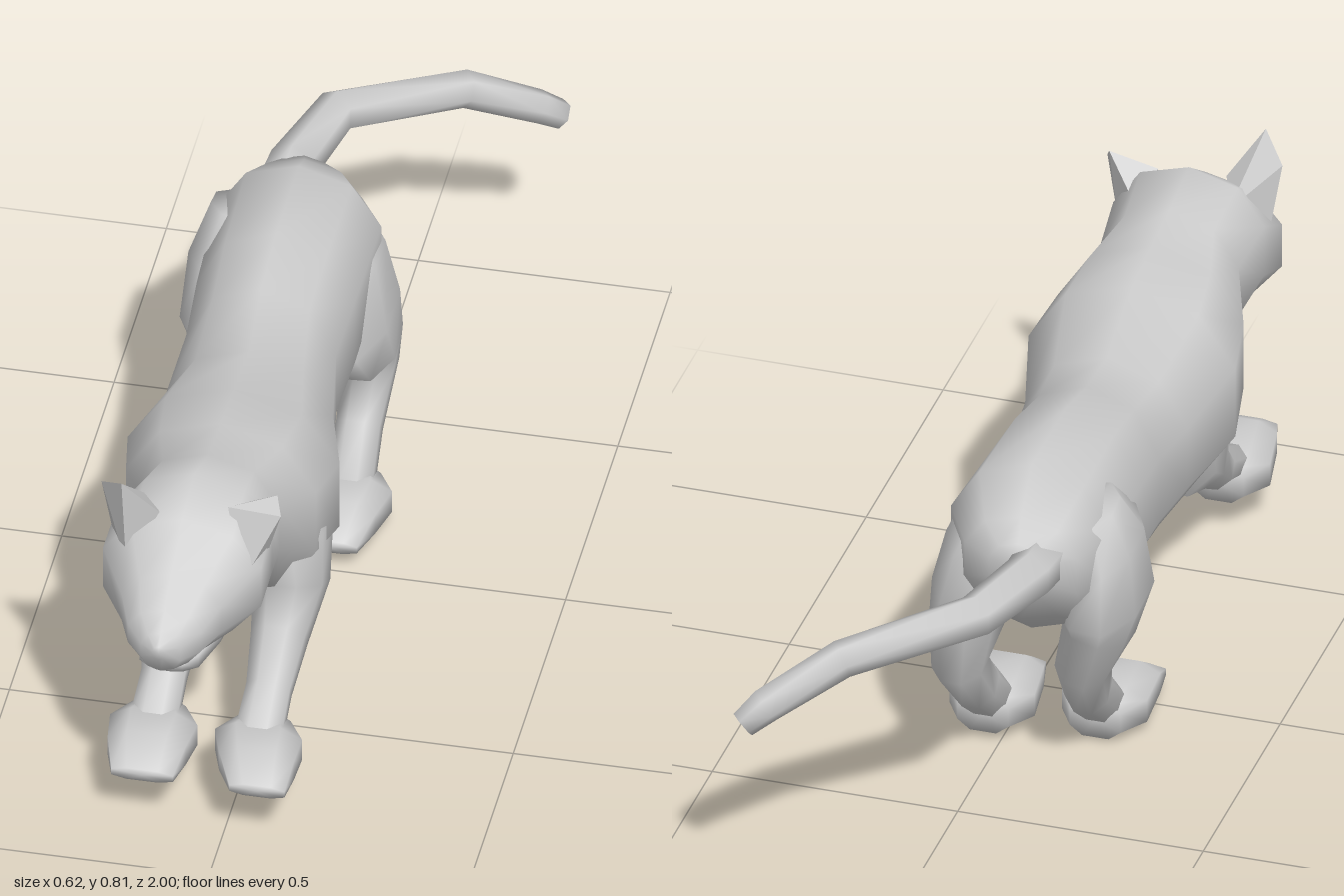
import * as THREE from 'three';
import { ConvexGeometry } from 'three/addons/geometries/ConvexGeometry.js';

const material = new THREE.MeshStandardMaterial({ color: 0xcccccc });

// Closed skin over rings [x, y, z, half width, half height].
// Rings follow the path direction, or stay in the xy plane when upright.
function loft(name, rings, sides, upright = false, power = 1) {
  const centres = rings.map(r => new THREE.Vector3(r[0], r[1], r[2]));
  const pos = [], index = [];
  const bulge = v => Math.sign(v) * Math.pow(Math.abs(v), power);
  rings.forEach(([, , , rw, rh], i) => {
    const t = new THREE.Vector3(0, 0, 1);
    if (!upright) {
      const a = centres[Math.max(i - 1, 0)], b = centres[i], c = centres[Math.min(i + 1, rings.length - 1)];
      t.subVectors(b, a).normalize().add(c.clone().sub(b).normalize()).normalize();
    }
    const u = new THREE.Vector3(1, 0, 0).addScaledVector(t, -t.x).normalize();
    const v = new THREE.Vector3().crossVectors(t, u);
    for (let j = 0; j < sides; j++) {
      const angle = (j + 0.5) / sides * Math.PI * 2;
      const p = centres[i].clone()
        .addScaledVector(u, rw * bulge(Math.cos(angle)))
        .addScaledVector(v, rh * bulge(Math.sin(angle)));
      pos.push(p.x, p.y, p.z);
    }
  });
  const last = (rings.length - 1) * sides, cap = rings.length * sides;
  for (const c of [centres[0], centres[centres.length - 1]]) pos.push(c.x, c.y, c.z);
  for (let j = 0; j < sides; j++) {
    const k = (j + 1) % sides;
    for (let i = 0; i < last; i += sides) {
      index.push(i + j, i + k, i + sides + k, i + j, i + sides + k, i + sides + j);
    }
    index.push(cap, k, j, cap + 1, last + j, last + k);
  }
  const geometry = new THREE.BufferGeometry();
  geometry.setAttribute('position', new THREE.Float32BufferAttribute(pos, 3));
  geometry.setIndex(index);
  geometry.computeVertexNormals();
  const mesh = new THREE.Mesh(geometry, material);
  mesh.name = name;
  return mesh;
}

// Upright loft from side-profile rows [z, top, bottom, half width, x]
function profile(name, rows, sides, power) {
  const rings = rows.map(([z, top, bottom, w, x]) => [x, (top + bottom) / 2, z, w * 1.04, (top - bottom) / 2]);
  return loft(name, rings, sides, true, power);
}

// Pointed ear as a small faceted hull
function ear(name, points) {
  const mesh = new THREE.Mesh(new ConvexGeometry(points.map(p => new THREE.Vector3(...p))), material);
  mesh.name = name;
  return mesh;
}

// Paw: wedge from heel to toes, the sole rising by lift, the toes offset and narrowed
function paw(name, x, y, z, lift, toeShift, toeWidth) {
  return loft(name, [
    [x, y + 0.045, z, 0.055, 0.042],
    [x, y + 0.046, z + 0.06, 0.092, 0.05],
    [x + toeShift / 2, y + 0.054 + lift / 2, z + 0.15, 0.05 + toeWidth / 2, 0.046],
    [x + toeShift, y + 0.036 + lift, z + 0.22, toeWidth, 0.014],
  ], 8, true, 0.75);
}

export function createModel() {
  const model = new THREE.Group();
  model.name = 'prowlingCat';

  // Continuous skin from rump through neck to nose
  model.add(profile('bodyAndHead', [
    [-0.49, 0.62, 0.5, 0.06, -0.12],
    [-0.44, 0.65, 0.42, 0.115, -0.11],
    [-0.34, 0.71, 0.34, 0.165, -0.1],
    [-0.12, 0.71, 0.275, 0.158, -0.1],
    [0.02, 0.68, 0.265, 0.15, -0.1],
    [0.18, 0.65, 0.255, 0.167, -0.09],
    [0.37, 0.7, 0.25, 0.212, -0.082],
    [0.5, 0.715, 0.29, 0.19, -0.08],
    [0.62, 0.73, 0.41, 0.142, -0.08],
    [0.73, 0.765, 0.44, 0.155, -0.085],
    [0.81, 0.71, 0.432, 0.158, -0.093],
    [0.89, 0.635, 0.448, 0.1, -0.097],
    [0.945, 0.588, 0.457, 0.073, -0.1],
    [0.98, 0.56, 0.468, 0.04, -0.1],
    [1.0, 0.54, 0.51, 0.012, -0.1],
  ], 10, 0.92));
  model.add(profile('lowerJaw', [
    [0.74, 0.52, 0.435, 0.1, -0.09],
    [0.83, 0.49, 0.42, 0.085, -0.095],
    [0.9, 0.47, 0.408, 0.06, -0.1],
    [0.94, 0.465, 0.437, 0.035, -0.1],
  ], 8, 0.85));

  model.add(ear('rightEar', [
    [-0.236, 0.62, 0.77], [-0.257, 0.765, 0.79], [-0.206, 0.808, 0.845],
    [-0.14, 0.715, 0.8], [-0.17, 0.69, 0.72], [-0.2, 0.6, 0.83]]));
  model.add(ear('leftEar', [
    [0.067, 0.62, 0.75], [0.098, 0.73, 0.785], [0.085, 0.757, 0.755],
    [-0.01, 0.725, 0.77], [0.01, 0.68, 0.69], [0.03, 0.59, 0.83]]));

  // Front legs stretched forward, rising into the shoulders
  for (const [side, x, s, dy, dz, toe, toeWidth] of [
    ['left', 0.042, 1, 0, 0, 0.03, 0.058], ['right', -0.17, -1, -0.012, -0.02, 0.01, 0.065]]) {
    model.add(loft(side + 'FrontLeg', [
      [x - s * 0.035, 0.6, 0.42, 0.06, 0.08],
      [x - s * 0.005, 0.44, 0.425, 0.088, 0.135],
      [x + s * 0.005, 0.31, 0.44, 0.075, 0.115],
      [x, 0.235, 0.53, 0.058, 0.062],
      [x, 0.18 + dy, 0.63 + dz, 0.047, 0.045],
      [x, 0.14 + dy, 0.73 + dz, 0.05, 0.035],
    ], 8));
    model.add(paw(side + 'FrontPaw', x, 0.075 + dy, 0.67 + dz, 0.02, toe, toeWidth));
  }

  // Hind legs: thigh, hock and shank, the right one wider and further forward
  for (const [side, x, out, dy, dz, toe, toeWidth] of [
    ['left', 0.035, 0, 0, 0, -0.005, 0.058], ['right', -0.175, -0.053, -0.01, 0.06, 0, 0.08]]) {
    model.add(loft(side + 'HindLeg', [
      [x - 0.06 - out * 0.4, 0.62, -0.31, 0.055, 0.07],
      [x - 0.03 + out * 0.55, 0.53, -0.31 + dz * 0.4, 0.07, 0.125],
      [x - 0.013 + out * 0.85, 0.41, -0.295 + dz * 0.4, 0.083, 0.162],
      [x + 0.003 + out * 0.8, 0.32, -0.325 + dz, 0.07, 0.105],
      [x + 0.005 + out * 0.4, 0.245, -0.355 + dz, 0.055, 0.07],
      [x, 0.15 + dy, -0.27 + dz, 0.047, 0.055],
      [x, 0.06 + dy, -0.17 + dz, 0.05, 0.045],
    ], 8));
    model.add(paw(side + 'HindPaw', x, 0.008 + dy, -0.225 + dz, 0.005, toe, toeWidth));
  }

  // Tail swinging out to the left
  model.add(loft('tail', [
    [-0.155, 0.565, -0.42, 0.055, 0.055],
    [-0.15, 0.57, -0.52, 0.05, 0.05],
    [-0.1, 0.575, -0.7, 0.045, 0.045],
    [0.12, 0.535, -0.87, 0.038, 0.038],
    [0.25, 0.452, -0.95, 0.036, 0.034],
    [0.288, 0.418, -0.978, 0.028, 0.03],
  ], 6));

  return model;
}
